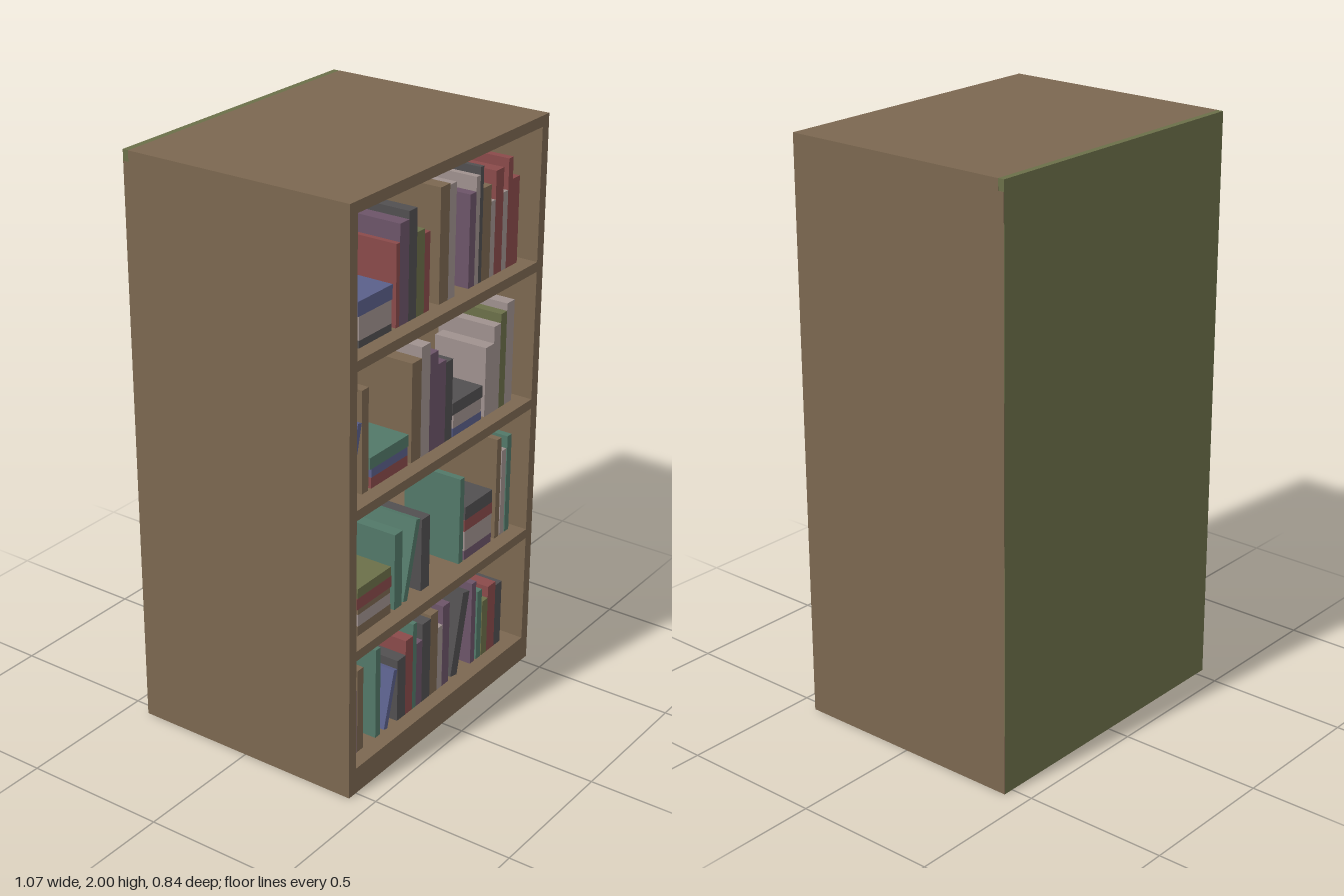
import * as THREE from 'three';

const mat = (name, color) => {
  const m = new THREE.MeshStandardMaterial({ color });
  m.name = name;
  return m;
};

export function createModel() {
  const wood = mat('wood', 0x7b6750), olive = mat('olive', 0x6b6f49), cream = mat('cream', 0x9f918e);
  const blue = mat('blue', 0x5a5f8a), red = mat('red', 0x8a4a4a), purple = mat('purple', 0x6c5468);
  const charcoal = mat('charcoal', 0x514f50), teal = mat('teal', 0x527868);
  const model = new THREE.Group();
  model.name = 'bookcase';

  // Box given by its minimum and maximum corners
  const box = (parent, name, material, x0, x1, y0, y1, z0, z1) => {
    const mesh = new THREE.Mesh(new THREE.BoxGeometry(x1 - x0, y1 - y0, z1 - z0), material);
    mesh.position.set((x0 + x1) / 2, (y0 + y1) / 2, (z0 + z1) / 2);
    mesh.name = name;
    parent.add(mesh);
  };

  // Case: sides, top, plinth and back panel
  const F = 0.422, B = -0.4, W = 0.537, I = 0.5;
  box(model, 'leftSide', wood, I, W, 0, 1.963, -0.421, F);
  box(model, 'rightSide', wood, -W, -I, 0, 1.963, -0.421, F);
  box(model, 'topBoard', wood, -W, W, 1.963, 2, B, F);
  box(model, 'plinth', wood, -I, I, 0, 0.093, -0.421, F);
  box(model, 'backPanel', olive, -W + 0.001, W - 0.001, 0.001, 2, -0.422, B);

  // Shelf boards; each shelf holds a group of books standing on its floor
  const [shelf1, shelf2, shelf3, shelf4] = [0.093, 0.526, 1.018, 1.508].map((y, i) => {
    if (i > 0) box(model, 'shelfBoard', wood, -I, I, y - 0.034, y, B, F);
    const row = new THREE.Group();
    row.name = 'bookRow' + (i + 1);
    row.position.y = y;
    model.add(row);
    return row;
  });
  const front = 0.37;

  // One book, turned about its lower right corner so a leaning one rests on the shelf
  const book = (shelf, x, color, thick, high, lean = 0) => {
    const pivot = new THREE.Group();
    pivot.name = lean ? 'leaningBook' : 'uprightBook';
    pivot.position.x = x + thick;
    pivot.rotation.z = -lean;
    const depth = Math.min(0.24, 0.12 + high * 0.32);
    box(pivot, 'book', color, -thick, 0, 0, high, front - depth, front);
    shelf.add(pivot);
  };

  // Upright books packed side by side from x: [colour, thickness, height]
  const run = (shelf, x, ...books) => {
    for (const [color, thick, high] of books) {
      book(shelf, x, color, thick, high);
      x += thick;
    }
  };

  // Lying books piled from the bottom up: [colour, thickness, width]
  const stack = (shelf, x, ...books) => {
    let y = 0;
    for (const [color, thick, wide] of books) {
      box(shelf, 'stackedBook', color, x - wide / 2, x + wide / 2, y, y + thick, front - 0.17, front);
      y += thick;
    }
  };

  // Bottom shelf
  run(shelf1, -0.484, [wood, 0.034, 0.251], [purple, 0.025, 0.235]);
  run(shelf1, -0.421, [wood, 0.032, 0.304]);
  run(shelf1, -0.32, [teal, 0.026, 0.331]);
  book(shelf1, -0.272, blue, 0.02, 0.207, 0.27);
  run(shelf1, -0.196, [charcoal, 0.046, 0.23], [red, 0.042, 0.283], [teal, 0.021, 0.325],
    [purple, 0.034, 0.241], [charcoal, 0.048, 0.299], [wood, 0.044, 0.31], [cream, 0.029, 0.241]);
  run(shelf1, 0.069, [purple, 0.04, 0.31]);
  book(shelf1, 0.122, charcoal, 0.04, 0.305, 0.225);
  run(shelf1, 0.246, [purple, 0.026, 0.315]);
  run(shelf1, 0.283, [teal, 0.027, 0.267]);
  run(shelf1, 0.315, [olive, 0.034, 0.214], [red, 0.048, 0.257], [charcoal, 0.04, 0.241]);

  // Second shelf
  run(shelf2, -0.484, [wood, 0.02, 0.33]);
  run(shelf2, -0.458, [wood, 0.03, 0.31]);
  stack(shelf2, -0.331, [wood, 0.034, 0.18], [cream, 0.042, 0.175], [wood, 0.019, 0.175],
    [red, 0.04, 0.187], [olive, 0.034, 0.18]);
  run(shelf2, -0.22, [teal, 0.042, 0.272]);
  book(shelf2, -0.17, teal, 0.023, 0.28, 0.25);
  run(shelf2, -0.069, [charcoal, 0.048, 0.262]);
  run(shelf2, 0.156, [teal, 0.024, 0.315]);
  stack(shelf2, 0.272, [purple, 0.034, 0.167], [cream, 0.074, 0.165], [red, 0.042, 0.17], [charcoal, 0.048, 0.165]);
  run(shelf2, 0.378, [wood, 0.026, 0.373]);
  run(shelf2, 0.41, [cream, 0.026, 0.32]);
  run(shelf2, 0.442, [teal, 0.026, 0.362]);

  // Third shelf
  book(shelf3, -0.481, blue, 0.02, 0.248, 0.235);
  run(shelf3, -0.402, [wood, 0.034, 0.347]);
  stack(shelf3, -0.255, [red, 0.037, 0.196], [blue, 0.029, 0.194], [teal, 0.04, 0.207]);
  run(shelf3, -0.137, [wood, 0.052, 0.341], [cream, 0.048, 0.378], [purple, 0.045, 0.336],
    [purple, 0.045, 0.288], [charcoal, 0.04, 0.278]);
  stack(shelf3, 0.184, [blue, 0.029, 0.17], [cream, 0.048, 0.164], [charcoal, 0.042, 0.178]);
  run(shelf3, 0.288, [cream, 0.048, 0.246], [cream, 0.039, 0.304], [olive, 0.035, 0.336], [cream, 0.045, 0.362]);

  // Top shelf
  stack(shelf4, -0.336, [charcoal, 0.024, 0.168], [cream, 0.077, 0.166], [blue, 0.048, 0.176]);
  run(shelf4, -0.23, [red, 0.018, 0.27], [purple, 0.048, 0.328], [charcoal, 0.042, 0.354],
    [olive, 0.042, 0.275], [red, 0.029, 0.259]);
  run(shelf4, 0.003, [wood, 0.05, 0.381], [cream, 0.037, 0.376]);
  run(shelf4, 0.169, [purple, 0.034, 0.312], [cream, 0.022, 0.36], [charcoal, 0.018, 0.386],
    [wood, 0.048, 0.312], [cream, 0.026, 0.254], [red, 0.045, 0.349], [cream, 0.028, 0.265],
    [red, 0.026, 0.37], [red, 0.042, 0.296]);

  return model;
}
